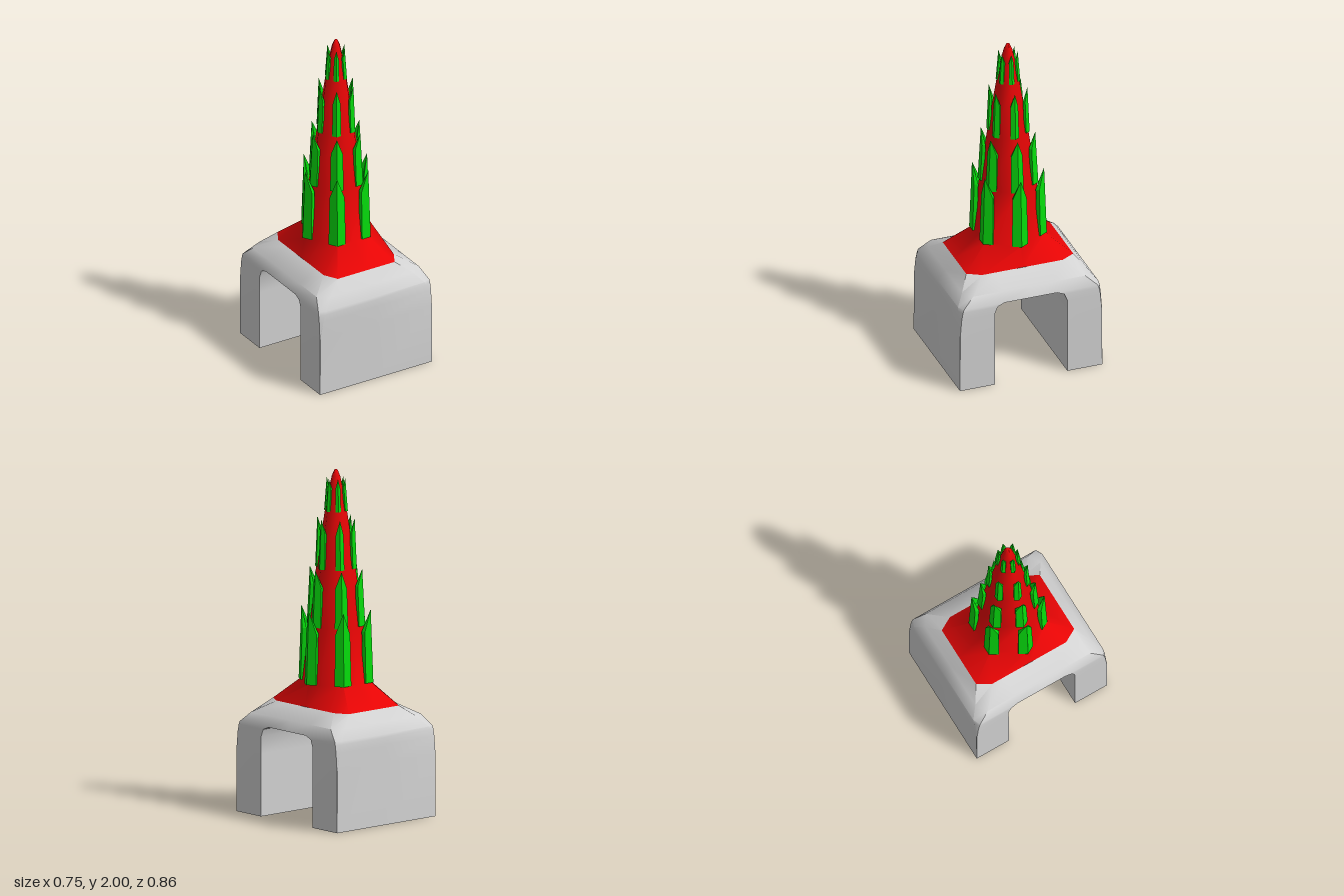
import * as THREE from 'three';
import { toCreasedNormals } from 'three/addons/utils/BufferGeometryUtils.js';

const stone = new THREE.MeshStandardMaterial({ color: 0xd2d2d2 });
stone.name = 'grey stone';
const red = new THREE.MeshStandardMaterial({ color: 0xee0505 });
red.name = 'red';
const green = new THREE.MeshStandardMaterial({ color: 0x05dc0c });
green.name = 'green';

// Collects quads and drops collapsed triangles
class Skin {
  constructor() { this.positions = []; }
  tri(a, b, c) {
    const t = new THREE.Triangle(...[a, b, c].map((p) => new THREE.Vector3(...p)));
    if (t.getArea() > 1e-8) this.positions.push(...a, ...b, ...c);
  }
  quad(a, b, c, d) {
    this.tri(a, b, c);
    this.tri(a, c, d);
  }
  // Mirrors a quad of the +x +z quarter into all four quarters
  quarters(a, b, c, d) {
    for (const sx of [1, -1]) for (const sz of [1, -1]) {
      const q = [a, b, c, d].map(([x, y, z]) => [x * sx, y, z * sz]);
      if (sx * sz < 0) q.reverse();
      this.quad(...q);
    }
  }
  mesh(name, material, crease) {
    const g = new THREE.BufferGeometry();
    g.setAttribute('position', new THREE.Float32BufferAttribute(this.positions, 3));
    const m = new THREE.Mesh(toCreasedNormals(g, crease), material);
    m.name = name;
    return m;
  }
}

// Arched base: rows of [y, half width, half depth, front corner x, side corner z, opening z]
function archBase() {
  const rows = [
    [0, 0.375, 0.432, 0.375, 0.432, 0.22],
    [0.36, 0.375, 0.432, 0.373, 0.43, 0.22],
    [0.465, 0.374, 0.431, 0.352, 0.421, 0.22],
    [0.507, 0.373, 0.43, 0.337, 0.413, 0.203],
    [0.525, 0.371, 0.427, 0.328, 0.407, 0.16],
    [0.585, 0.343, 0.382, 0.275, 0.34, 0.16],
    [0.65, 0.235, 0.325, 0.19, 0.245, 0.16],
  ];
  const top = 4; // row at the crown of the opening
  const rings = rows.map(([y, hx, hz, fx, sz, oz]) =>
    [[0, y, hz], [fx, y, hz], [hx, y, sz], [hx, y, oz], [hx, y, 0]]);
  const skin = new Skin();
  for (let r = 0; r < rings.length - 1; r++) {
    const lo = rings[r], hi = rings[r + 1];
    const columns = r < top ? 3 : 4;
    for (let c = 0; c < columns; c++) skin.quarters(lo[c], lo[c + 1], hi[c + 1], hi[c]);
  }
  // Inside of the opening
  const edge = rings.slice(0, top + 1).map((ring) => ring[3]);
  edge.push(rings[top][4]);
  const mid = ([, y, z]) => [0, y, z];
  for (let i = 0; i < edge.length - 1; i++) {
    skin.quarters(edge[i], mid(edge[i]), mid(edge[i + 1]), edge[i + 1]);
  }
  // Soles of the two legs
  skin.quarters([0, 0, 0.22], [0.375, 0, 0.22], [0.375, 0, 0.432], [0, 0, 0.432]);
  return skin.mesh('archBase', stone, 0.65);
}

// Skirt flaring from an eight-sided rim into a six-sided spire with a ridge on +x
function spire() {
  const rim = [[0, 0.65, 0.325], [0.19, 0.65, 0.325], [0.235, 0.65, 0.245], [0.235, 0.65, 0]];
  const profile = [[0.213, 0.775], [0.166, 1.1], [0.118, 1.43], [0.066, 1.76],
    [0.044, 1.88], [0.025, 1.96], [0.01, 1.995], [0, 2]];
  const rings = [rim, ...profile.map(([r, y]) => {
    const cx = r * 0.5, cz = r * Math.sqrt(3) / 2;
    return [[0, y, cz], [cx, y, cz], [cx, y, cz], [r, y, 0]];
  })];
  const skin = new Skin();
  for (let r = 0; r < rings.length - 1; r++) for (let c = 0; c < 3; c++) {
    skin.quarters(rings[r][c], rings[r][c + 1], rings[r + 1][c + 1], rings[r + 1][c]);
  }
  return skin.mesh('spire', red, 1.1);
}

// Pointed V-shaped leaf wrapped round the +x ridge
function leaf({ y0, y1, r0, r1, w, t }) {
  const section = (y, r, half, thick) => {
    const back = r - half / Math.sqrt(3);
    return [[r, y, 0], [back, y, -half], [back - thick * 0.75, y, -half * 0.8],
      [r - thick, y, 0], [back - thick * 0.75, y, half * 0.8], [back, y, half]];
  };
  const rings = [
    section(y0, r0, w, t),
    section(y0 + (y1 - y0) * 0.7, r0 + (r1 - r0) * 0.7, w * 0.88, t),
    section(y1, r1, 0, 0),
  ];
  const skin = new Skin();
  for (let r = 0; r < 2; r++) for (let i = 0; i < 6; i++) {
    const j = (i + 1) % 6;
    skin.quad(rings[r][i], rings[r][j], rings[r + 1][j], rings[r + 1][i]);
  }
  // Underside
  const b = rings[0];
  skin.quad(b[0], b[3], b[2], b[1]);
  skin.quad(b[0], b[5], b[4], b[3]);
  return skin.mesh('leaf', green, 0.3);
}

export function createModel() {
  const model = new THREE.Group();
  model.name = 'spireOnArch';
  model.add(archBase(), spire());

  // Four tiers of six leaves
  const tiers = [
    { y0: 0.775, y1: 1.2, r0: 0.224, r1: 0.208, w: 0.049, t: 0.03 },
    { y0: 1.1, y1: 1.43, r0: 0.175, r1: 0.157, w: 0.039, t: 0.024 },
    { y0: 1.43, y1: 1.72, r0: 0.125, r1: 0.112, w: 0.026, t: 0.018 },
    { y0: 1.76, y1: 1.95, r0: 0.071, r1: 0.056, w: 0.016, t: 0.014 },
  ];
  tiers.forEach((tier, n) => {
    const ring = new THREE.Group();
    ring.name = `leafTier${n + 1}`;
    const first = leaf(tier);
    for (let i = 0; i < 6; i++) {
      const m = first.clone();
      m.rotation.y = i * Math.PI / 3;
      ring.add(m);
    }
    model.add(ring);
  });
  return model;
}
